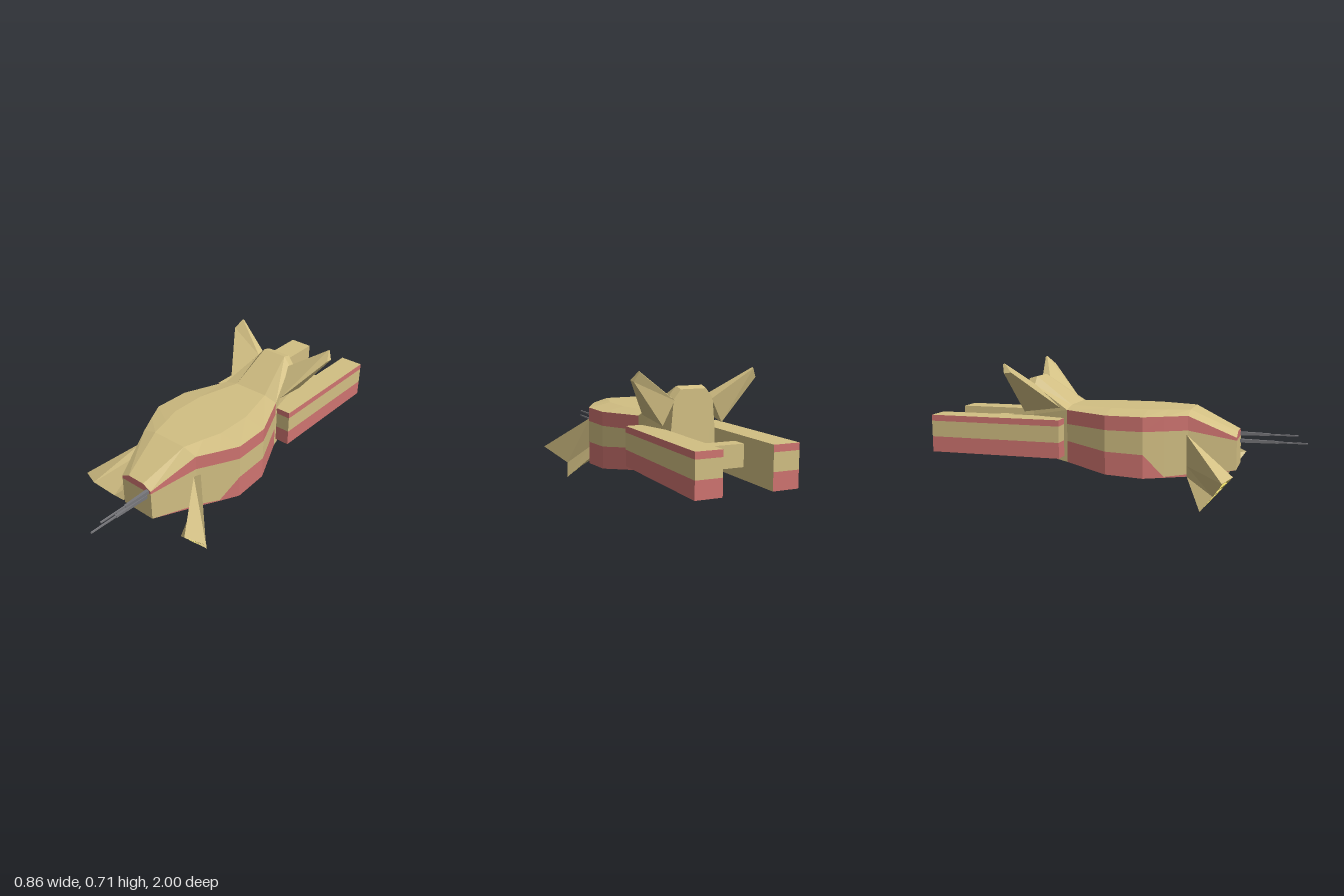
import * as THREE from 'three';

const mat = (color) => new THREE.MeshStandardMaterial({ color, flatShading: true });
const TAN = 0, RED = 1, YELLOW = 2;
const MATS = [mat(0xd2bf83), mat(0xcf7470), mat(0xd8cb58)];
const GREY = mat(0x77777b);
const DARK = mat(0x5c5c60);

// Flat polygons gathered by colour; side -1 mirrors them across x
class Panels {
  constructor(side = 1) { this.side = side; this.pos = [[], [], []]; }
  poly(color, pts) {
    const p = pts.map(([x, y, z]) => [x * this.side, y, z]);
    if (this.side < 0) p.reverse();
    for (let i = 1; i < p.length - 1; i++) this.pos[color].push(...p[0], ...p[i], ...p[i + 1]);
  }
  // Rings run front to back, each counterclockwise seen from the front
  loft(rings, colorOf) {
    for (let k = 0; k < rings.length - 1; k++) {
      const a = rings[k], b = rings[k + 1], n = a.length;
      for (let j = 0; j < n; j++) {
        const i = (j + 1) % n;
        this.poly(colorOf(k, j), [a[j], b[j], b[i], a[i]]);
      }
    }
  }
  build(name) {
    const group = new THREE.Group();
    group.name = name;
    this.pos.forEach((p, i) => {
      if (!p.length) return;
      const g = new THREE.BufferGeometry();
      g.setAttribute('position', new THREE.Float32BufferAttribute(p, 3));
      g.computeVertexNormals();
      const mesh = new THREE.Mesh(g, MATS[i]);
      mesh.name = name + ['Plating', 'Stripes', 'Vents'][i];
      group.add(mesh);
    });
    return group;
  }
}

const mix = (a, b, t) => a.map((v, i) => v + (b[i] - v) * t);

function makeHull() {
  // z, belly half width, bottom, lower stripe, upper stripe, half width, shoulder y, shoulder half width, roof half width, roof y
  const sections = [
    [0.65, 0.06, 0.17, 0.17, 0.325, 0.1, 0.34, 0.1, 0.05, 0.365],
    [0.41, 0.1, 0.14, 0.152, 0.38, 0.18, 0.455, 0.18, 0.1, 0.477],
    [0.3, 0.12, 0.14, 0.145, 0.38, 0.238, 0.455, 0.238, 0.13, 0.478],
    [0.2, 0.14, 0.14, 0.262, 0.38, 0.288, 0.455, 0.288, 0.16, 0.478],
    [0, 0.14, 0.148, 0.268, 0.38, 0.282, 0.455, 0.282, 0.16, 0.478],
    [-0.24, 0.11, 0.178, 0.293, 0.385, 0.178, 0.46, 0.178, 0.1, 0.478],
    [-0.45, 0.08, 0.21, 0.295, 0.42, 0.124, 0.58, 0.108, 0.07, 0.625],
    [-0.495, 0.07, 0.22, 0.295, 0.42, 0.118, 0.565, 0.105, 0.068, 0.612],
  ];
  const rings = sections.map(([z, b, bot, r2, r1, w, sh, shw, t, top]) => {
    const half = [[b, bot, z], [w, bot, z], [w, r2, z], [w, r1, z], [shw, sh, z], [t, top, z]];
    return [...half, ...half.map(([x, y]) => [-x, y, z]).reverse()];
  });
  const hull = new Panels();
  hull.loft(rings, (k, j) => {
    const s = j > 5 ? 10 - j : j;
    return s === 0 || (s === 1 && k < 5) || (s === 3 && k < 5) ? RED : TAN;
  });
  // Nose face with its red brow, then the tail face
  const nose = rings[0];
  hull.poly(RED, [3, 4, 5, 6, 7, 8].map((i) => nose[i]));
  hull.poly(TAN, [8, 9, 10, 11, 0, 1, 2, 3].map((i) => nose[i]));
  hull.poly(TAN, [...rings[rings.length - 1]].reverse());
  return hull.build('hull');
}

function makeFin(side) {
  const front = [[0.175, 0.47, -0.28], [0.325, 0.665, -0.49], [0.302, 0.71, -0.535], [0.105, 0.58, -0.44]];
  const back = [[0.16, 0.44, -0.49], [0.325, 0.66, -0.53], [0.302, 0.705, -0.545], [0.1, 0.56, -0.495]];
  const fin = new Panels(side);
  fin.loft([front, back], () => TAN);
  fin.poly(TAN, front);
  fin.poly(TAN, [...back].reverse());
  return fin.build(side > 0 ? 'leftFin' : 'rightFin');
}

function makePod(side) {
  // Bent mouth: outer edge A-F-E, inner edge B-C-D
  const A = [0.43, 0.175, 0.62], B = [0.327, 0.187, 0.66], C = [0.244, 0.106, 0.6];
  const D = [0.239, 0.042, 0.545], E = [0.325, 0, 0.5], F = [0.303, 0.076, 0.56];
  const root = [
    [0.21, 0.363, 0.41], [0.172, 0.335, 0.42], [0.172, 0.17, 0.42],
    [0.172, 0.13, 0.41], [0.19, 0.14, 0.41], [0.2, 0.2, 0.41],
  ];
  const pod = new Panels(side);
  pod.loft([[A, B, C, D, E, F], root], () => TAN);
  pod.poly(TAN, [...root].reverse());
  // Four framed, recessed vents across the mouth
  const outer = [A, mix(A, F, 0.5), F, mix(F, E, 0.5), E];
  const inner = [B, mix(B, C, 0.5), C, mix(C, D, 0.5), D];
  for (let i = 0; i < 4; i++) {
    const cell = [outer[i], inner[i], inner[i + 1], outer[i + 1]];
    const mid = [0, 1, 2].map((a) => cell.reduce((s, p) => s + p[a], 0) / 4);
    const frame = cell.map((p) => mix(p, mid, 0.18));
    const floor = cell.map((p) => {
      const q = mix(p, mid, 0.55);
      return [q[0] - 0.025, q[1] + 0.02, q[2] - 0.035];
    });
    pod.loft([floor, frame, cell], (k) => (k === 0 ? YELLOW : TAN));
    pod.poly(YELLOW, floor);
  }
  return pod.build(side > 0 ? 'leftPod' : 'rightPod');
}

function makeBoom(side) {
  const boom = new THREE.Group();
  boom.name = side > 0 ? 'leftBoom' : 'rightBoom';
  // Stripes show on the outer side and the ends only
  for (const [y0, y1, c] of [[0.21, 0.295, RED], [0.295, 0.382, TAN], [0.382, 0.415, RED]]) {
    const outer = MATS[c], tan = MATS[TAN];
    const sides = side > 0 ? [outer, tan] : [tan, outer];
    const band = new THREE.Mesh(new THREE.BoxGeometry(0.132, y1 - y0, 0.74), [...sides, tan, tan, outer, outer]);
    band.position.set(side * 0.19, (y0 + y1) / 2, -0.63);
    band.name = 'boomBand';
    boom.add(band);
  }
  return boom;
}

function makeGun(name, x, y, tip) {
  const gun = new THREE.Group();
  gun.name = name;
  const add = (part, r0, r1, z0, z1) => {
    const g = new THREE.CylinderGeometry(r1, r0, z1 - z0, 4).rotateY(Math.PI / 4).rotateX(Math.PI / 2);
    const m = new THREE.Mesh(g, GREY);
    m.position.set(x, y, (z0 + z1) / 2);
    m.name = part;
    gun.add(m);
  };
  const step = tip - 0.15;
  add('gunSleeve', 0.014, 0.009, 0.62, step);
  add('gunBarrel', 0.006, 0.005, step, tip);
  return gun;
}

export function createModel() {
  const model = new THREE.Group();
  model.name = 'spacecraft';
  model.add(makeHull());
  for (const side of [1, -1]) model.add(makeFin(side), makePod(side), makeBoom(side));

  // Bar joining the booms
  const bar = new THREE.Mesh(new THREE.BoxGeometry(0.256, 0.11, 0.08), MATS[TAN]);
  bar.position.set(0, 0.325, -0.72);
  bar.name = 'crossBar';
  model.add(bar);

  // Six-sided plate under the belly
  const outline = [[0.105, 0.41], [0.145, 0.2], [0.105, 0.02], [-0.105, 0.02], [-0.145, 0.2], [-0.105, 0.41]];
  const shape = new THREE.Shape(outline.map(([x, z]) => new THREE.Vector2(x, -z)));
  const plateGeo = new THREE.ExtrudeGeometry(shape, { depth: 0.03, bevelEnabled: false }).rotateX(-Math.PI / 2);
  const plate = new THREE.Mesh(plateGeo, [DARK, GREY]);
  plate.position.y = 0.119;
  plate.name = 'bellyPlate';
  model.add(plate);

  model.add(makeGun('upperGun', 0.08, 0.333, 0.95), makeGun('lowerGun', 0.066, 0.296, 1));
  return model;
}
